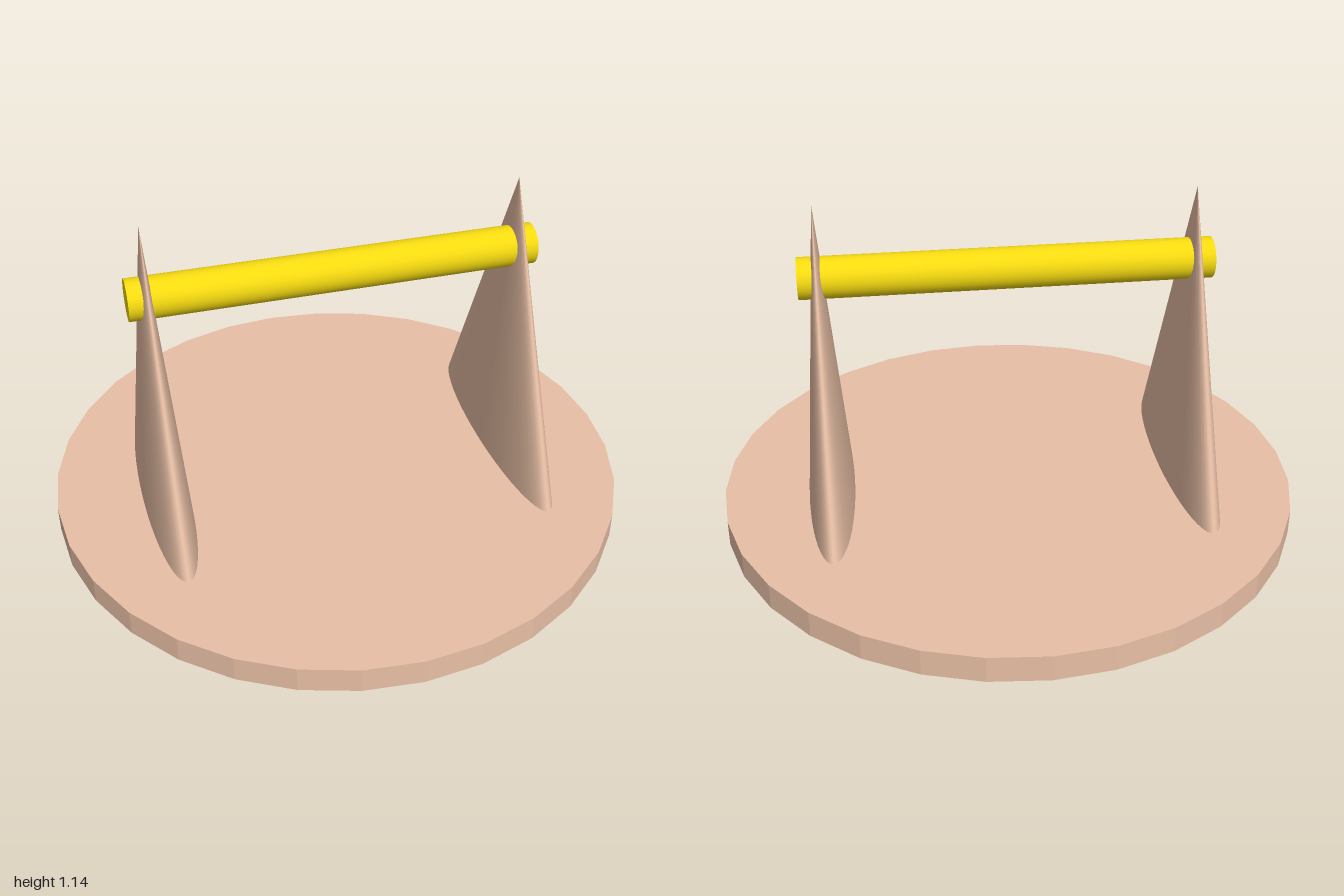
import * as THREE from 'three';

export function createModel() {
  const model = new THREE.Group();
  const clay = new THREE.MeshStandardMaterial({ color: 0xe8bfa5 });
  const clayFlat = new THREE.MeshStandardMaterial({ color: 0xe8bfa5, flatShading: true });
  const yellow = new THREE.MeshStandardMaterial({ color: 0xf5da10 });

  const add = (name, geometry, material, x, y) => {
    const mesh = new THREE.Mesh(geometry, material);
    mesh.name = name;
    mesh.position.set(x, y, 0);
    model.add(mesh);
  };

  // Faceted round base
  const baseTop = 0.09;
  add('base', new THREE.CylinderGeometry(1, 1, baseTop, 32), clayFlat, 0, baseTop / 2);

  // Two flattened cones standing on the base
  const coneHeight = 1.05;
  const cone = new THREE.ConeGeometry(0.475, coneHeight, 48).scale(0.08 / 0.475, 1, 1);
  for (const [name, side] of [['leftSupport', 1], ['rightSupport', -1]]) {
    add(name, cone, clay, side * 0.628, baseTop + coneHeight / 2);
  }

  // Crossbar running through both cones
  const bar = new THREE.CylinderGeometry(0.07, 0.07, 1.38, 32).rotateZ(Math.PI / 2);
  add('crossbar', bar, yellow, 0, 0.886);

  return model;
}
